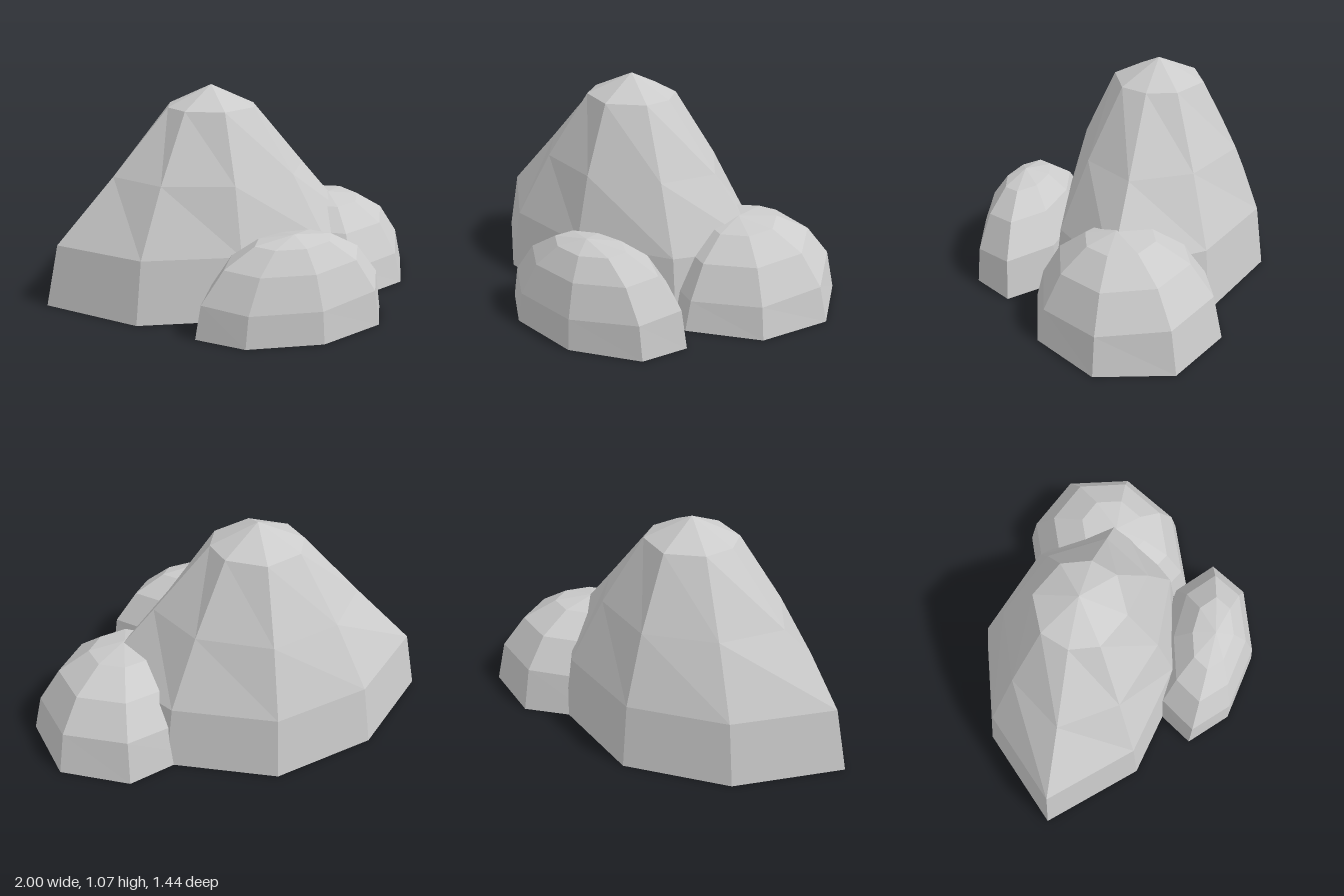
import * as THREE from 'three';

// A faceted boulder: the base outline is repeated in shrinking rings up to an apex.
// outline: [x, z] pairs, clockwise seen from above.
// rings: [height, scale, extra], where radius = scale * base radius + extra.
// tilt: [rise per unit x, rise per unit z] for every ring above the ground.
function makeRock(name, { apex, outline, rings, tilt }, material) {
  const [cx, top, cz] = apex;
  const n = outline.length;
  const positions = [];
  for (const [y, scale, extra] of rings) {
    for (const [x, z] of outline) {
      const dx = x - cx, dz = z - cz;
      const k = scale + extra / Math.hypot(dx, dz);
      const lift = y > 0 ? dx * k * tilt[0] + dz * k * tilt[1] : 0;
      positions.push(cx + dx * k, y + lift, cz + dz * k);
    }
  }
  const apexIndex = positions.length / 3;
  positions.push(cx, top, cz, cx, 0, cz);

  const index = [];
  const last = (rings.length - 1) * n;
  for (let i = 0; i < n; i++) {
    const j = (i + 1) % n;
    for (let r = 0; r < last; r += n) {
      index.push(r + i, r + n + i, r + n + j, r + i, r + n + j, r + j);
    }
    index.push(last + i, apexIndex, last + j); // cap
    index.push(i, j, apexIndex + 1); // underside
  }

  const indexed = new THREE.BufferGeometry();
  indexed.setAttribute('position', new THREE.Float32BufferAttribute(positions, 3));
  indexed.setIndex(index);
  const geometry = indexed.toNonIndexed();
  geometry.computeVertexNormals();
  const mesh = new THREE.Mesh(geometry, material);
  mesh.name = name;
  return mesh;
}

export function createModel() {
  const group = new THREE.Group();
  group.name = 'rockCluster';
  const stone = new THREE.MeshStandardMaterial({ color: 0xcccccc, flatShading: true });

  // Tall main boulder, nearly round at the top
  group.add(makeRock('largeRock', {
    apex: [-0.13, 1.07, -0.15],
    outline: [[-1, -0.11], [-0.65, -0.53], [-0.16, -0.72], [0.36, -0.57],
      [0.71, -0.18], [0.41, 0.21], [-0.11, 0.36], [-0.62, 0.27]],
    rings: [[0, 1, 0], [0.31, 0.925, 0], [0.635, 0.37, 0.19], [0.965, 0, 0.225]],
    tilt: [0, 0],
  }, stone));

  // Low boulder in front
  group.add(makeRock('frontRock', {
    apex: [0.09, 0.46, 0.49],
    outline: [[-0.39, 0.5], [-0.28, 0.3], [0.03, 0.2], [0.38, 0.21],
      [0.59, 0.38], [0.49, 0.59], [0.16, 0.72], [-0.2, 0.67]],
    rings: [[0, 1, 0], [0.175, 0.94, 0], [0.33, 0.71, 0], [0.425, 0.4, 0]],
    tilt: [0.02, -0.1],
  }, stone));

  // Low boulder at the side
  group.add(makeRock('sideRock', {
    apex: [0.52, 0.455, -0.16],
    outline: [[1, -0.22], [0.84, 0.11], [0.5, 0.26], [0.2, 0.11],
      [0.05, -0.15], [0.2, -0.52], [0.54, -0.68], [0.87, -0.56]],
    rings: [[0, 1, 0], [0.175, 0.91, 0], [0.33, 0.69, 0], [0.425, 0.37, 0]],
    tilt: [0, -0.08],
  }, stone));

  return group;
}
